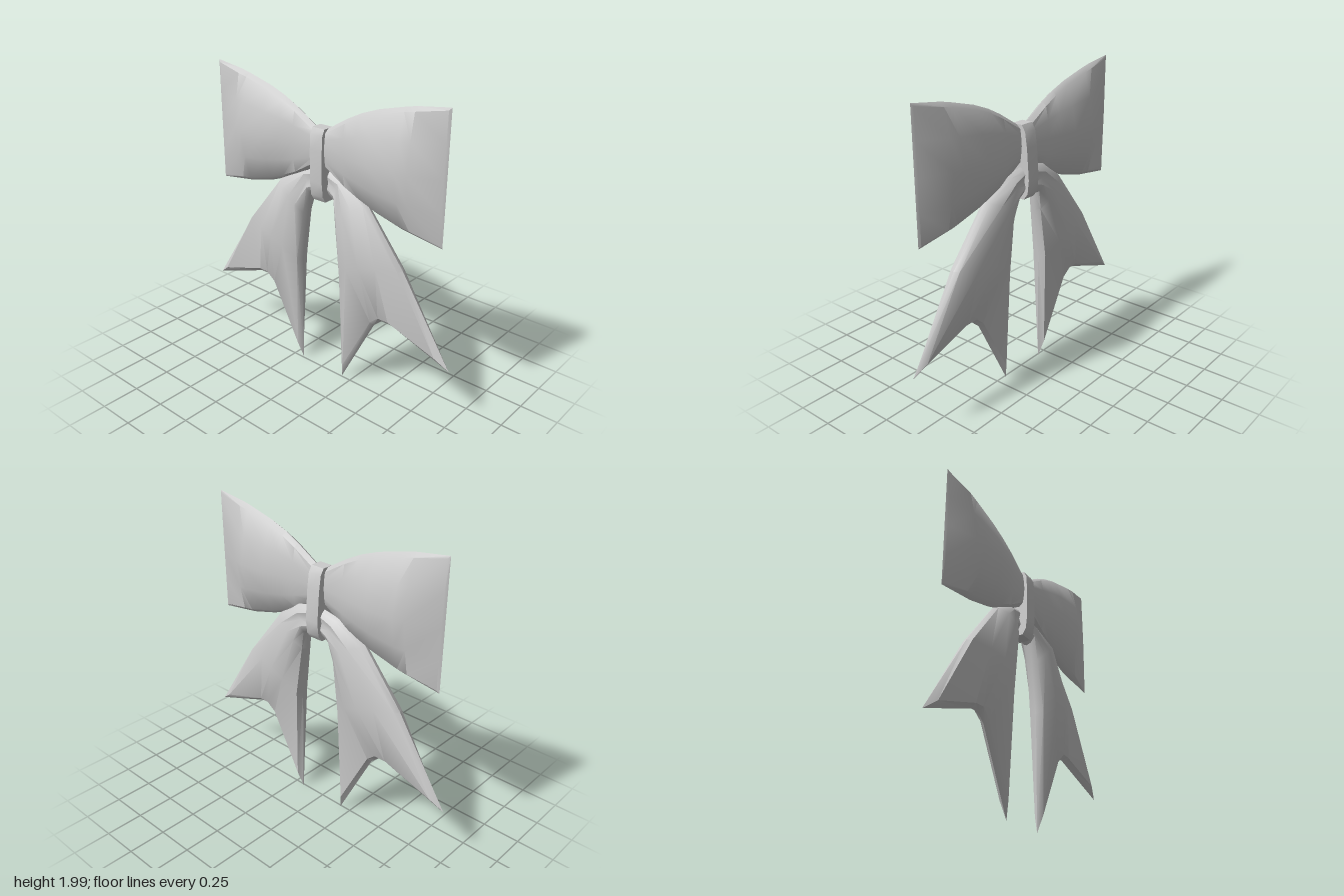
import * as THREE from 'three';
import { toCreasedNormals } from 'three/addons/utils/BufferGeometryUtils.js';

const material = new THREE.MeshStandardMaterial({ color: 0xcccccc, side: THREE.DoubleSide });

// Puffy two-sided sheet with a bevelled rim. Each row: { z, points: [x, y, halfThickness] }.
// The first row stays open (hidden in the knot); the last row closes on the rim.
function cushion(rows, side, inset, endInset, cornerInset) {
  const n = rows.length, m = rows[0].points.length, ringSize = 2 * m + 2;
  const xy = (i, j) => new THREE.Vector2(rows[i].points[j][0], rows[i].points[j][1]);
  const toward = (p, q, d) => q.clone().sub(p).setLength(d);
  const positions = [], index = [];
  const add = (p, z) => positions.push(p.x * side, p.y, z);

  for (let i = 0; i <= n; i++) {
    const r = Math.min(i, n - 1), { z, points } = rows[r], isRim = i === n;
    const sheet = points.map((_, j) => {
      const p = xy(r, j), out = p.clone();
      if (isRim) return out;
      const edge = j === 0 || j === m - 1, end = r === n - 1;
      if (edge) out.add(toward(p, xy(r, j === 0 ? 1 : m - 2), end ? cornerInset : inset));
      if (end) out.add(toward(p, xy(r - 1, j), edge ? cornerInset : endInset));
      return out;
    });
    const h = (j) => (isRim ? 0 : points[j][2]);
    for (let j = 0; j < m; j++) add(sheet[j], z + h(j));
    add(xy(r, m - 1), z);
    for (let j = m - 1; j >= 0; j--) add(sheet[j], z - h(j));
    add(xy(r, 0), z);
  }
  for (let i = 0; i < n; i++) {
    for (let j = 0; j < ringSize; j++) {
      const k = (j + 1) % ringSize;
      const a = i * ringSize + j, d = i * ringSize + k, b = a + ringSize, c = d + ringSize;
      if (side > 0) index.push(a, d, c, a, c, b);
      else index.push(a, c, d, a, b, c);
    }
  }
  const geometry = new THREE.BufferGeometry();
  geometry.setAttribute('position', new THREE.Float32BufferAttribute(positions, 3));
  geometry.setIndex(index);
  return toCreasedNormals(geometry, 0.7);
}

// Loop sections: x, top y, bottom y, half thickness at the middle
const loopSections = [
  [0.01, 1.70, 1.48, 0.035], [0.05, 1.72, 1.46, 0.04], [0.20, 1.81, 1.37, 0.06],
  [0.30, 1.86, 1.325, 0.083], [0.42, 1.905, 1.28, 0.105], [0.61, 1.955, 1.23, 0.105],
  [0.68, 1.97, 1.22, 0.085], [0.89, 2.0, 1.19, 0.012],
];
const loopRows = loopSections.map(([x, top, bottom, h]) => ({
  z: -0.005,
  points: [0, 0.25, 0.5, 0.75, 1].map((v) => {
    const edge = Math.min(0.03, h * 0.7);
    const bulge = 1 - Math.abs(2 * v - 1);
    return [x, THREE.MathUtils.lerp(top, bottom, v), edge + (h - edge) * Math.pow(bulge, 0.85)];
  }),
}));

// Tail sections from knot to swallow-tail end, outer edge to inner edge
const tailRows = [
  { z: -0.035, points: [[0.02, 1.46, 0.02], [0.02, 1.42, 0.035], [0.02, 1.38, 0.025], [0.02, 1.34, 0.035], [0.02, 1.29, 0.02]] },
  { z: -0.035, points: [[0.17, 1.43, 0.025], [0.14, 1.39, 0.05], [0.12, 1.35, 0.04], [0.11, 1.31, 0.055], [0.10, 1.25, 0.03]] },
  { z: -0.012, points: [[0.35, 1.31, 0.03], [0.28, 1.28, 0.075], [0.22, 1.24, 0.085], [0.17, 1.19, 0.08], [0.125, 1.12, 0.04]] },
  { z: -0.008, points: [[0.63, 0.96, 0.035], [0.48, 0.95, 0.075], [0.37, 0.92, 0.1], [0.27, 0.88, 0.095], [0.17, 0.78, 0.05]] },
  { z: -0.01, points: [[0.99, 0.41, 0.03], [0.56, 0.56, 0.03], [0.49, 0.563, 0.035], [0.43, 0.51, 0.03], [0.175, 0.01, 0.03]] },
];

// Band around the middle: rounded profile in z and y, extruded across x
function knotGeometry() {
  const profile = [
    [0.03, 1.72], [0.05, 1.68], [0.055, 1.58], [0.055, 1.38], [0.045, 1.29], [0.02, 1.25],
    [-0.06, 1.25], [-0.09, 1.29], [-0.10, 1.38], [-0.085, 1.58], [-0.07, 1.68], [-0.045, 1.72],
  ];
  const shape = new THREE.Shape(profile.map(([z, y]) => new THREE.Vector2(-z, y)));
  const geometry = new THREE.ExtrudeGeometry(shape, { depth: 0.096, bevelEnabled: false });
  geometry.translate(0, 0, -0.048).rotateY(Math.PI / 2);
  return toCreasedNormals(geometry, 0.6);
}

export function createModel() {
  const bow = new THREE.Group();
  bow.name = 'ribbonBow';
  const part = (name, geometry) => {
    const mesh = new THREE.Mesh(geometry, material);
    mesh.name = name;
    bow.add(mesh);
  };
  for (const [label, side] of [['left', 1], ['right', -1]]) {
    part(`${label}Loop`, cushion(loopRows, side, 0.025, 0.015, 0.015));
    part(`${label}Tail`, cushion(tailRows, side, 0.015, 0.03, 0.06));
  }
  part('knot', knotGeometry());
  return bow;
}
